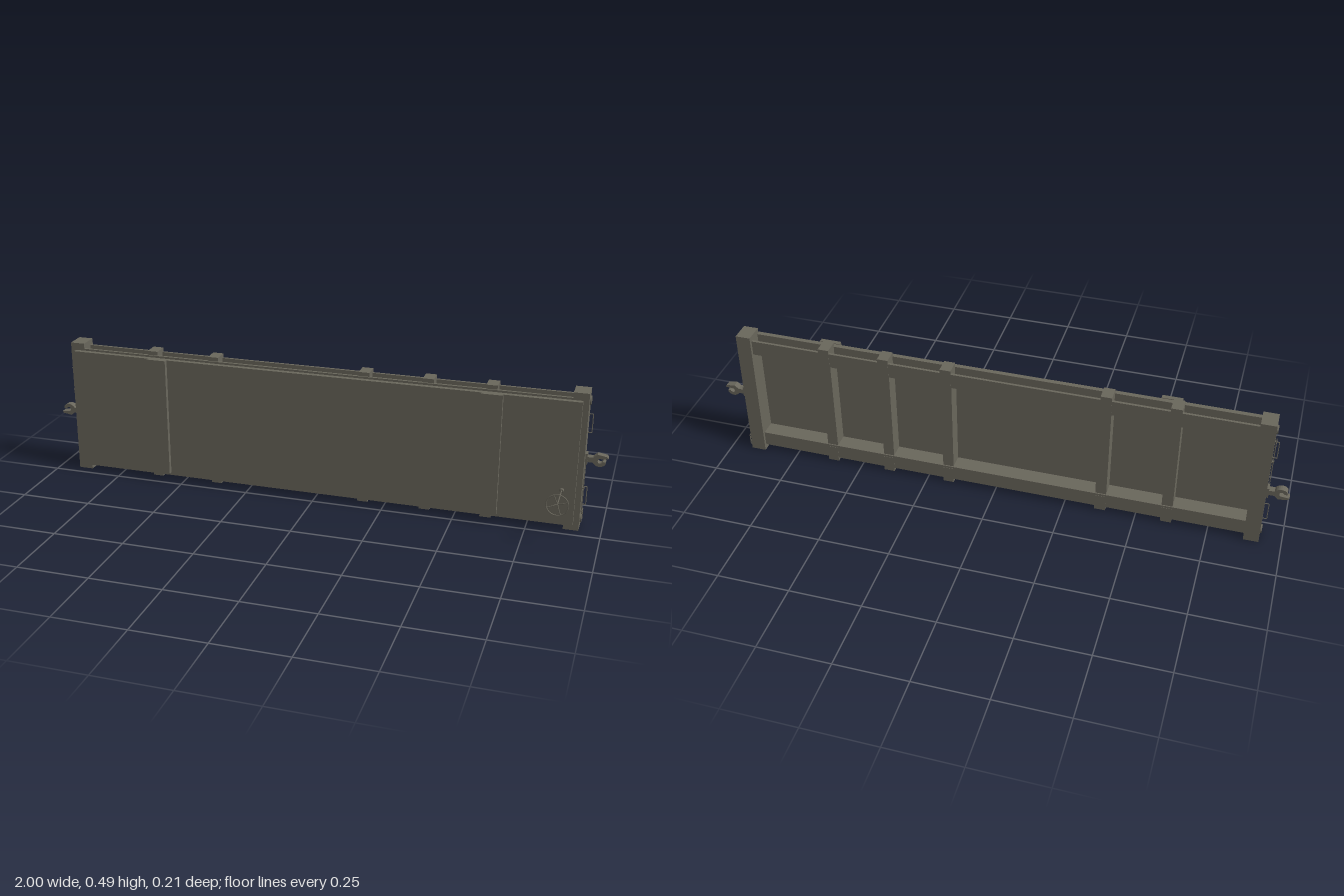
import * as THREE from 'three';

const steel = new THREE.MeshStandardMaterial({ color: 0x6a675c });
steel.name = 'weathered steel';

export function createModel() {
  const model = new THREE.Group();
  model.name = 'flatWagonFrame';

  const add = (name, geometry, parent = model) => {
    const mesh = new THREE.Mesh(geometry, steel);
    mesh.name = name;
    parent.add(mesh);
    return mesh;
  };
  // Box given by its limits on each axis
  const box = (name, x0, x1, y0, y1, z0, z1, parent) => {
    const mesh = add(name, new THREE.BoxGeometry(x1 - x0, y1 - y0, z1 - z0), parent);
    mesh.position.set((x0 + x1) / 2, (y0 + y1) / 2, (z0 + z1) / 2);
    return mesh;
  };
  // Round bar through a few points, with straight segments
  const bar = (name, points, radius, parent) => {
    const path = new THREE.CurvePath();
    const p = points.map((q) => new THREE.Vector3(...q));
    for (let i = 1; i < p.length; i++) path.add(new THREE.LineCurve3(p[i - 1], p[i]));
    return add(name, new THREE.TubeGeometry(path, 12 * (p.length - 1), radius, 6), parent);
  };

  // Deck plate and the two raised bands across it
  box('deck', -0.906, 0.906, 0.024, 0.465, -0.037, -0.02);
  box('deckBand', -0.615, -0.545, 0.035, 0.467, -0.02, -0.004);
  box('deckBand', 0.578, 0.65, 0.035, 0.467, -0.02, -0.004);

  // Side channels, open to the outside: web and two flanges
  const mid = 0.246;
  const sideBox = (name, s, x0, x1, inner, outer, z0, z1) => {
    const a = mid + s * inner, b = mid + s * outer;
    box(name, x0, x1, Math.min(a, b), Math.max(a, b), z0, z1);
  };
  const stations = [-0.607, -0.377, 0.171, 0.393, 0.607];
  for (const s of [1, -1]) {
    sideBox('sideWeb', s, -0.88, 0.88, 0.172, 0.182, -0.094, -0.037);
    sideBox('sideFlange', s, -0.88, 0.88, 0.172, 0.226, -0.094, -0.085);
    sideBox('sideFlange', s, -0.88, 0.88, 0.172, 0.226, -0.046, -0.037);
    for (const x of stations)
      sideBox('stakePocket', s, x - 0.019, x + 0.019, 0.18, 0.24, -0.095, -0.042);
  }

  // Cross members under the deck
  for (const x of stations) box('crossMember', x - 0.019, x + 0.019, 0.07, 0.422, -0.09, -0.037);

  // Coupler claw outline, shank along +x
  const claw = new THREE.Shape();
  claw.moveTo(0, -0.009);
  claw.lineTo(0.022, -0.009);
  claw.quadraticCurveTo(0.034, -0.026, 0.052, -0.02);
  claw.quadraticCurveTo(0.066, -0.016, 0.064, -0.003);
  claw.lineTo(0.055, -0.003);
  claw.quadraticCurveTo(0.05, -0.011, 0.042, -0.009);
  claw.quadraticCurveTo(0.034, -0.004, 0.041, 0.006);
  claw.lineTo(0.072, 0.009);
  claw.lineTo(0.068, 0.016);
  claw.lineTo(0.036, 0.021);
  claw.lineTo(0.022, 0.009);
  claw.lineTo(0, 0.009);

  // One end assembly, modelled for +x about the half-turn axis
  const makeEnd = (name) => {
    const end = new THREE.Group();
    end.name = name;
    box('endBeam', 0.873, 0.925, 0.001, 0.491, -0.105, -0.037, end);
    for (const y of [0.035, 0.457]) {
      const disc = add('bufferDisc', new THREE.CylinderGeometry(0.015, 0.015, 0.008, 24), end);
      disc.rotation.z = Math.PI / 2;
      disc.position.set(0.926, y, -0.073);
    }
    for (const y of [0.085, 0.345])
      bar('grabRail', [[0.922, y, -0.073], [0.939, y, -0.073], [0.939, y + 0.065, -0.073], [0.922, y + 0.065, -0.073]], 0.0018, end);
    return end;
  };

  for (const s of [1, -1]) {
    const end = makeEnd(s > 0 ? 'leftEnd' : 'rightEnd');
    // Coupler with its square draft socket and the bent release lever
    const gear = new THREE.Group();
    gear.name = 'couplerGear';
    const head = add('coupler', new THREE.ExtrudeGeometry(claw, { depth: 0.024, bevelEnabled: false, curveSegments: 5 }), gear);
    head.position.set(0.928, 0.248, -0.097);
    box('couplerSocket', 0.915, 0.932, 0.23, 0.268, -0.099, -0.071, gear);
    bar('releaseLever', [
      [0.929, 0.24, -0.055], [0.929, 0.218, -0.055], [0.929, 0.206, -0.049],
      [0.929, 0.064, -0.049], [0.929, 0.058, -0.055], [0.929, 0.058, -0.103], [0.929, 0.018, -0.103],
    ], 0.0018, gear);
    for (const y of [0.072, 0.155]) box('leverBracket', 0.922, 0.932, y - 0.002, y + 0.002, -0.053, -0.045, gear);
    if (s < 0) {
      end.rotation.z = Math.PI;
      end.position.y = 0.492;
      gear.rotation.z = Math.PI;
      gear.position.y = 0.462;
    }
    end.add(gear);
    if (s < 0) {
      // Keep the gear's half-turn relative to the model
      model.add(gear);
    }
    model.add(end);
  }

  // Hand brake: shaft, collar and dished wheel with four spokes
  const brake = new THREE.Group();
  brake.name = 'handBrake';
  brake.position.set(0.861, 0.15, 0);
  model.add(brake);
  bar('brakeShaft', [[0, 0, -0.022], [0, 0, 0.1]], 0.0022, brake);
  const collar = add('brakeCollar', new THREE.CylinderGeometry(0.005, 0.009, 0.006, 12), brake);
  collar.rotation.x = Math.PI / 2;
  collar.position.z = -0.018;
  const rim = add('brakeWheelRim', new THREE.TorusGeometry(0.0365, 0.0022, 8, 32), brake);
  rim.position.z = 0.103;
  for (let i = 0; i < 4; i++) {
    const a = 0.35 + (i * Math.PI) / 2, c = Math.cos(a), d = Math.sin(a);
    bar('brakeWheelSpoke', [[0, 0, 0.094], [0.015 * c, 0.015 * d, 0.1], [0.036 * c, 0.036 * d, 0.103]], 0.0018, brake);
  }

  return model;
}
